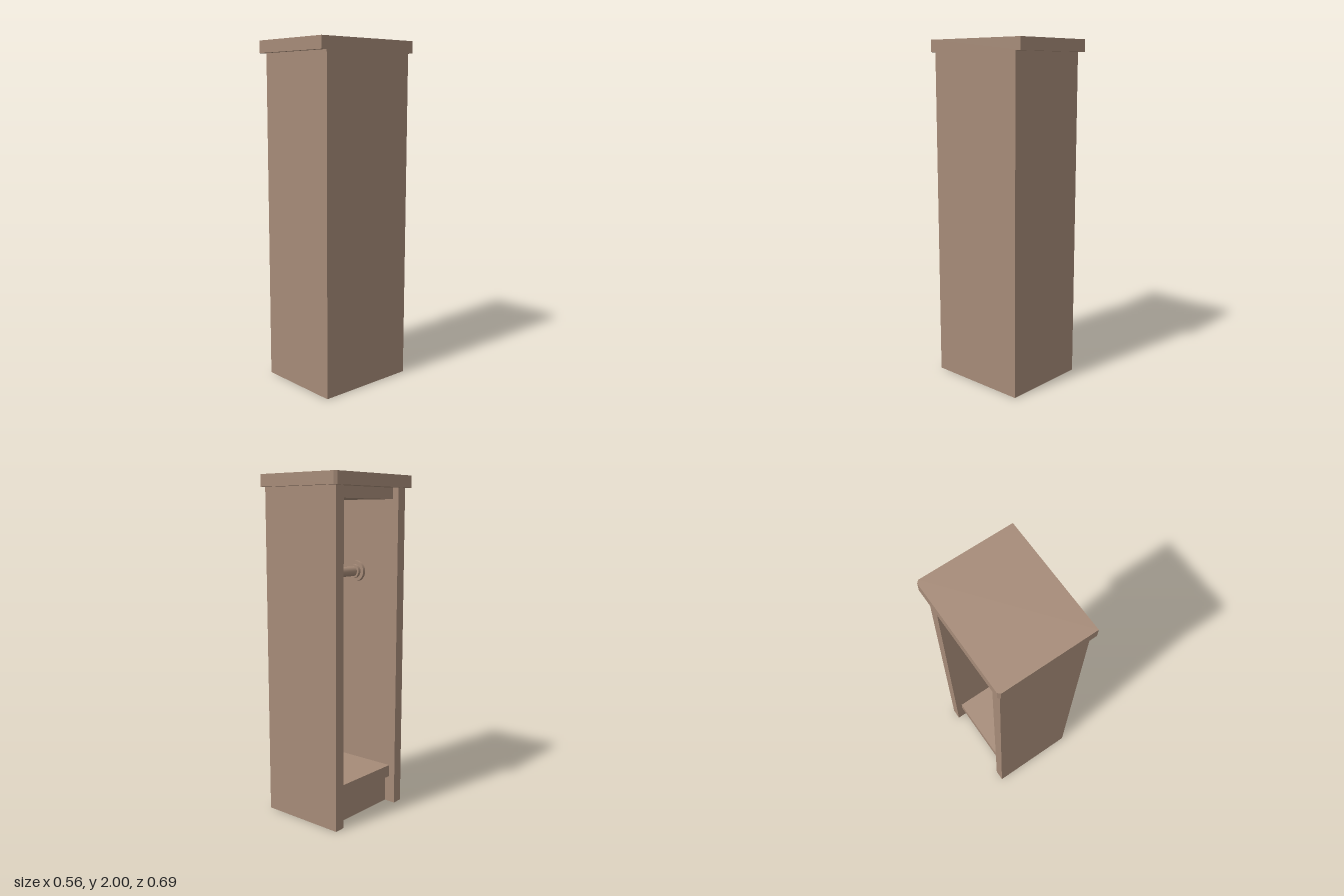
import * as THREE from 'three';

export function createModel() {
  const model = new THREE.Group();
  const wood = new THREE.MeshStandardMaterial({ color: 0xa68b78 });
  wood.name = 'wood';

  const add = (name, geometry) => {
    const mesh = new THREE.Mesh(geometry, wood);
    mesh.name = name;
    model.add(mesh);
    return mesh;
  };
  // Box given by its limits on each axis
  const box = (name, x0, x1, y0, y1, z0, z1) =>
    add(name, new THREE.BoxGeometry(x1 - x0, y1 - y0, z1 - z0))
      .position.set((x0 + x1) / 2, (y0 + y1) / 2, (z0 + z1) / 2);

  const open = -0.25, back = 0.28, inner = 0.245, outer = 0.31, height = 1.93;

  // Carcass, open towards -x
  box('leftPanel', open, back, 0, height, inner, outer);
  box('rightPanel', open, back, 0, height, -outer, -inner);
  box('backPanel', 0.215, back, 0, height, -inner, inner);
  box('plinth', -0.18, 0.215, 0, 0.165, -inner, inner);
  box('bottomShelf', -0.21, 0.215, 0.165, 0.237, -inner, inner);
  box('topPanel', -0.21, 0.215, 1.865, height, -inner, inner);

  // Lid with two clipped corners above the opening
  const c = 0.014, w = 0.28, d = 0.346;
  const outline = new THREE.Shape([
    [w, -d], [w, d], [-w + c, d], [-w, d - c], [-w, -d + c], [-w + c, -d],
  ].map(([x, y]) => new THREE.Vector2(x, y)));
  const lid = new THREE.ExtrudeGeometry(outline, { depth: 0.07, bevelEnabled: false });
  lid.rotateX(-Math.PI / 2);
  add('lid', lid).position.y = height;

  // Hanging rod with a stepped flange at each end
  const rodX = 0.055, rodY = 1.435;
  const disc = (name, radius, length, z) => {
    const mesh = add(name, new THREE.CylinderGeometry(radius, radius, length, 24));
    mesh.rotation.x = Math.PI / 2;
    mesh.position.set(rodX, rodY, z);
  };
  disc('rod', 0.03, 2 * inner, 0);
  for (const side of [-1, 1]) {
    disc('rodFlange', 0.063, 0.02, side * (inner - 0.01));
    disc('rodCollar', 0.042, 0.02, side * (inner - 0.03));
  }

  return model;
}
